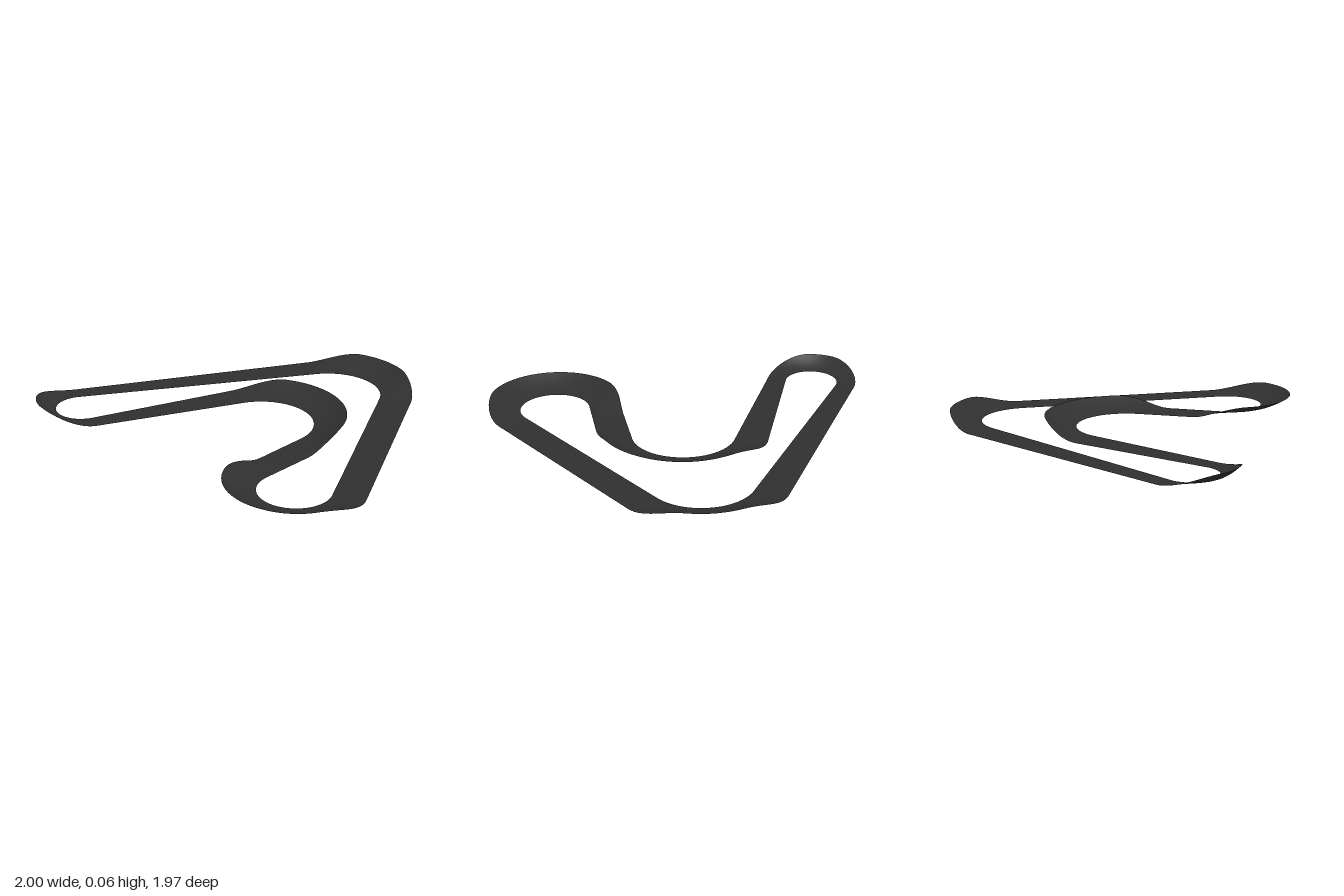
import * as THREE from 'three';

// Turns in driving order: centre, inner and outer radius, side (1 clockwise from above, -1 the other way),
// and how far the banking reaches onto the straights before and after the turn.
const TURNS = [
  { x: -0.75, z: 0.157, inner: 0.145, outer: 0.25, side: 1, before: 0, after: 0 },
  { x: 0.44, z: -0.537, inner: 0.275, outer: 0.45, side: 1, before: 0, after: 0 },
  { x: 0.643, z: 0.627, inner: 0.188, outer: 0.357, side: 1, before: 0, after: 0.14 },
  { x: 0.225, z: -0.03, inner: 0.275, outer: 0.45, side: -1, before: 0.14, after: 0 },
];
const BANK_HEIGHT = 0.065, RAMP = 0.27;
const ARC_STEPS = 56, STRAIGHT_STEPS = 28, ACROSS = 10;

const ramp = (d) => THREE.MathUtils.smoothstep(d, 0, RAMP);

// Heading of the straight that touches the centre lines of two turns
function tangentHeading(a, b) {
  const dx = b.x - a.x, dz = b.z - a.z;
  return Math.atan2(dz, dx) + Math.asin((a.side * a.radius - b.side * b.radius) / Math.hypot(dx, dz));
}

const onTurn = (t, heading) => ({
  x: t.x + t.side * t.radius * Math.sin(heading),
  z: t.z - t.side * t.radius * Math.cos(heading),
});

// Cross-sections along the closed loop: position, heading, width and banking on either edge
function trackSections() {
  const turns = TURNS.map((t) => ({ ...t, radius: (t.inner + t.outer) / 2, width: t.outer - t.inner }));
  const n = turns.length, sections = [];
  const headings = turns.map((t, i) => tangentHeading(t, turns[(i + 1) % n]));
  turns.forEach((t, i) => {
    const next = turns[(i + 1) % n];
    const start = headings[(i + n - 1) % n], end = headings[i];
    const sweep = THREE.MathUtils.euclideanModulo(t.side * (end - start), Math.PI * 2);
    const length = sweep * t.radius;

    // curve
    for (let k = 0; k < ARC_STEPS; k++) {
      const f = k / ARC_STEPS, heading = start + t.side * sweep * f;
      const bank = ramp(length * f + t.before) * ramp(length * (1 - f) + t.after);
      sections.push({
        ...onTurn(t, heading), heading, width: t.width,
        left: t.side > 0 ? bank : 0, right: t.side < 0 ? bank : 0,
      });
    }

    // straight to the next curve
    const p = onTurn(t, end), q = onTurn(next, end);
    const run = Math.hypot(q.x - p.x, q.z - p.z);
    for (let k = 0; k < STRAIGHT_STEPS; k++) {
      const f = k / STRAIGHT_STEPS;
      const out = ramp(t.after - run * f), into = ramp(next.before - run * (1 - f));
      sections.push({
        x: THREE.MathUtils.lerp(p.x, q.x, f), z: THREE.MathUtils.lerp(p.z, q.z, f),
        heading: end, width: THREE.MathUtils.lerp(t.width, next.width, f),
        left: (t.side > 0 ? out : 0) + (next.side > 0 ? into : 0),
        right: (t.side < 0 ? out : 0) + (next.side < 0 ? into : 0),
      });
    }
  });
  return sections;
}

// Ribbon surface, dished upward toward the raised edge
function trackGeometry() {
  const sections = trackSections(), positions = [], indices = [];
  const row = ACROSS + 1;
  sections.forEach((s, i) => {
    const rx = -Math.sin(s.heading), rz = Math.cos(s.heading);
    for (let j = 0; j <= ACROSS; j++) {
      const t = j / ACROSS, off = (t - 0.5) * s.width;
      const y = BANK_HEIGHT * (s.left * Math.pow(1 - t, 1.7) + s.right * Math.pow(t, 1.7));
      positions.push(s.x + rx * off, y, s.z + rz * off);
      if (j < ACROSS) {
        const a = i * row + j, c = ((i + 1) % sections.length) * row + j;
        indices.push(a, a + 1, c, a + 1, c + 1, c);
      }
    }
  });
  const geometry = new THREE.BufferGeometry();
  geometry.setAttribute('position', new THREE.Float32BufferAttribute(positions, 3));
  geometry.setIndex(indices);
  geometry.computeVertexNormals();
  return geometry;
}

export function createModel() {
  const asphalt = new THREE.MeshStandardMaterial({ color: 0x303030, side: THREE.DoubleSide });
  asphalt.name = 'asphalt';
  const track = new THREE.Mesh(trackGeometry(), asphalt);
  track.name = 'bankedTrack';
  const model = new THREE.Group();
  model.name = 'raceTrack';
  model.add(track);
  return model;
}
